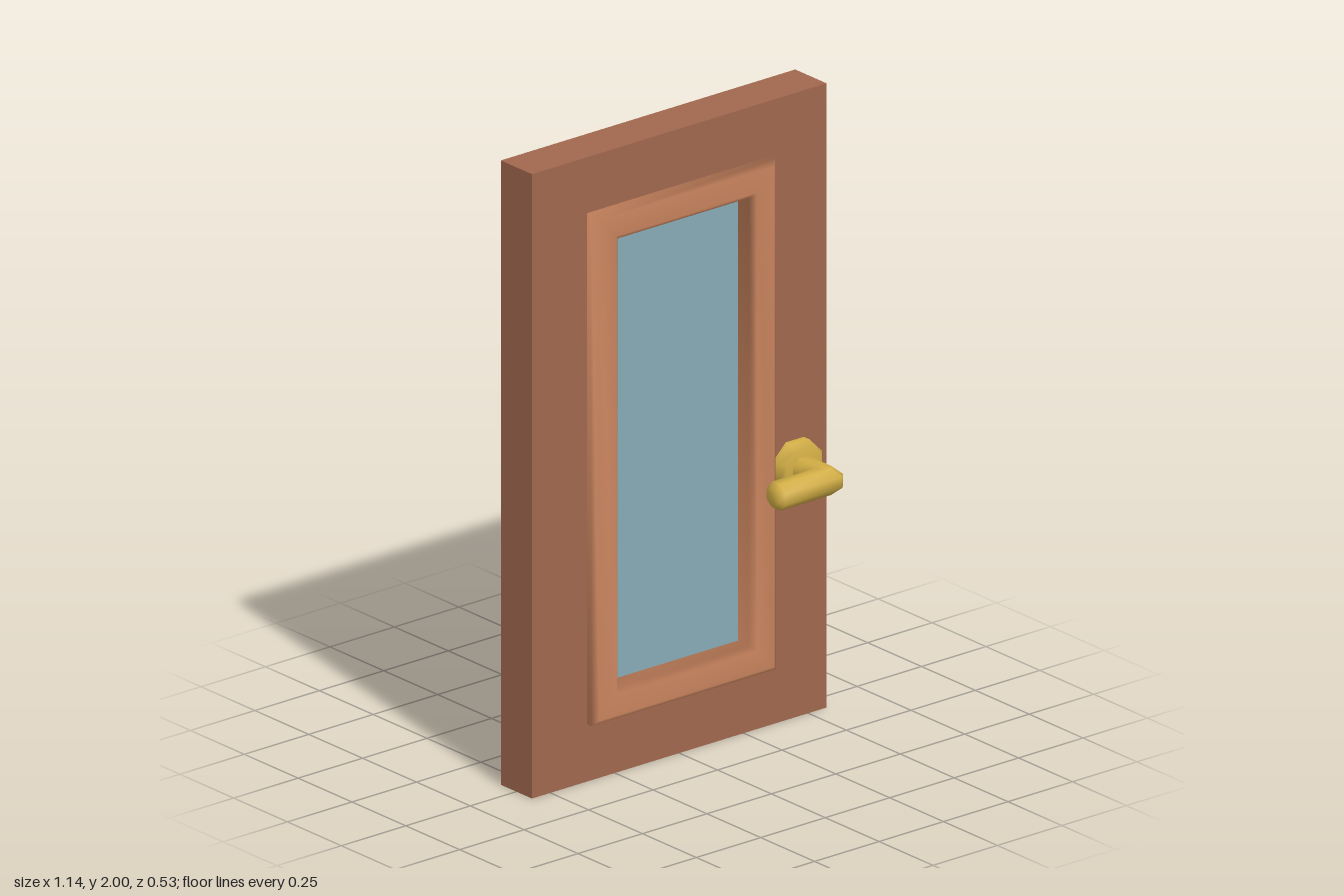
import * as THREE from 'three';

const mat = (name, color) => {
  const m = new THREE.MeshStandardMaterial({ color });
  m.name = name;
  return m;
};

// Smooth skin over a list of equal rings of Vector3; either closed on itself or capped at the far end
function loft(rings, closed) {
  const n = rings[0].length, last = rings.length;
  const points = rings.flat(), index = [];
  for (let i = 0; i < (closed ? last : last - 1); i++) {
    const k = (i + 1) % last;
    for (let j = 0; j < n; j++) {
      const a = i * n + j, b = i * n + (j + 1) % n;
      const c = k * n + j, d = k * n + (j + 1) % n;
      index.push(a, b, c, b, d, c);
    }
  }
  if (!closed) {
    const end = rings[last - 1], base = (last - 1) * n;
    points.push(end.reduce((s, p) => s.add(p), new THREE.Vector3()).divideScalar(n));
    for (let j = 0; j < n; j++) index.push(last * n, base + j, base + (j + 1) % n);
  }
  const g = new THREE.BufferGeometry().setFromPoints(points);
  g.setIndex(index);
  g.computeVertexNormals();
  return g;
}

// Octagon with flat sides; (ux, uz) is its half width across, h its half height
function octagon(x, z, ux, uz, h) {
  const k = 1 / Math.cos(Math.PI / 8);
  return Array.from({ length: 8 }, (_, j) => {
    const a = (j + 0.5) * Math.PI / 4, c = Math.cos(a) * k, s = Math.sin(a) * k;
    return new THREE.Vector3(x + c * ux, s * h, z + c * uz);
  });
}

export function createModel() {
  const model = new THREE.Group();
  model.name = 'door';
  const wood = mat('brown wood', 0xa0674e);
  const trim = mat('light wood', 0xc9845e);
  const pane = mat('blue glass', 0x87abb5);
  const brass = mat('brass', 0xd1ad45);
  const add = (parent, name, geometry, material) => {
    const m = new THREE.Mesh(geometry, material);
    m.name = name;
    parent.add(m);
    return m;
  };

  // Door leaf with a window opening
  const rect = (path, w, y0, y1) => path.moveTo(-w, y0).lineTo(w, y0).lineTo(w, y1).lineTo(-w, y1).closePath();
  const leaf = rect(new THREE.Shape(), 0.571, 0, 2);
  leaf.holes.push(rect(new THREE.Path(), 0.3, 0.24, 1.765));
  const leafGeo = new THREE.ExtrudeGeometry(leaf, { depth: 0.145, bevelEnabled: false });
  leafGeo.translate(0, 0, -0.0725);
  add(model, 'doorLeaf', leafGeo, wood);

  // Window frame: chamfered section swept round four mitred corners
  const section = [
    [0, 0.091], [0, -0.091], [0.017, -0.1075], [0.085, -0.1075],
    [0.102, -0.091], [0.102, 0.091], [0.085, 0.1075], [0.017, 0.1075],
  ];
  const corners = [[1, 1], [-1, 1], [-1, -1], [1, -1]].map(([sx, sy]) =>
    section.map(([d, z]) => new THREE.Vector3(sx * (0.357 - d), 1.002 + sy * (0.819 - d), z)));
  add(model, 'windowFrame', loft(corners, true), trim);

  // Glass, set towards the front of the frame
  add(model, 'glass', new THREE.BoxGeometry(0.53, 1.45, 0.006), pane).position.set(0, 1.002, 0.036);

  // Handle on each side: round plate and bent lever
  const r = 0.0418, hx = 0.448;
  const plate = loft([[0.06, 0.085], [0.097, 0.085], [0.114, 0.068]]
    .map(([z, s]) => octagon(hx, z, s, 0, s)), false);
  const lever = loft([
    octagon(hx, 0.1, r, 0, r),
    octagon(hx, 0.2055, r, r, r),
    octagon(hx - 0.017, 0.2225, r, r, r),
    octagon(0.252, 0.2225, 0, r, r),
    octagon(0.236, 0.2225, 0, 0.027, 0.027),
  ], false);
  for (const [name, turn] of [['frontHandle', 0], ['backHandle', Math.PI]]) {
    const handle = new THREE.Group();
    handle.name = name;
    handle.position.y = 0.805;
    handle.rotation.x = turn;
    add(handle, 'handlePlate', plate, brass);
    add(handle, 'handleLever', lever, brass);
    model.add(handle);
  }
  return model;
}
